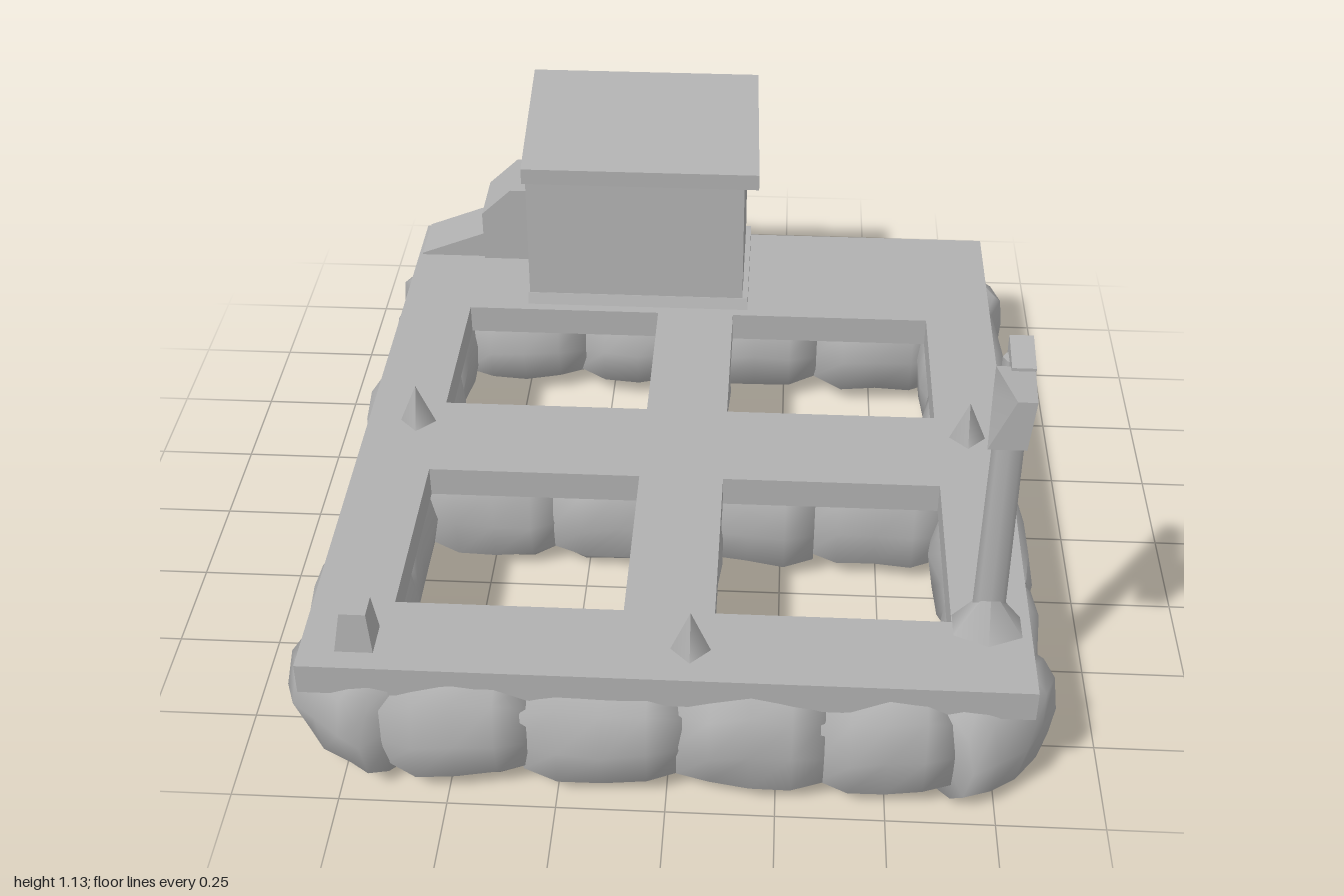
import * as THREE from 'three';

const steel = new THREE.MeshStandardMaterial({ color: 0xb0b0b0 });
steel.name = 'weathered grey';
steel.side = THREE.DoubleSide;

let seed = 11;
function rand() {
  seed = (seed * 16807) % 2147483647;
  return seed / 2147483647 - 0.5;
}

function add(parent, name, geometry) {
  const mesh = new THREE.Mesh(geometry, steel);
  mesh.name = name;
  parent.add(mesh);
  return mesh;
}

// Box given by its bounds, with an optional rule that moves each corner
function block(x0, x1, y0, y1, z0, z1, rule) {
  const g = new THREE.BoxGeometry(x1 - x0, y1 - y0, z1 - z0);
  g.translate((x0 + x1) / 2, (y0 + y1) / 2, (z0 + z1) / 2);
  if (rule) {
    const p = g.attributes.position;
    const v = new THREE.Vector3();
    for (let i = 0; i < p.count; i++) {
      v.fromBufferAttribute(p, i);
      rule(v);
      p.setXYZ(i, v.x, v.y, v.z);
    }
    g.computeVertexNormals();
  }
  return g;
}

// Lumpy barrel lying along x: rounded-square rings, pinched at the ends
function barrel(length, width, height) {
  const sides = 10;
  const rings = [[-0.5, 0], [-0.5, 0.84], [-0.28, 0.99], [0, 1.03], [0.28, 0.99], [0.5, 0.84], [0.5, 0]];
  const pos = [], index = [];
  const square = (c) => Math.sign(c) * Math.pow(Math.abs(c), 0.65);
  rings.forEach(([t, r]) => {
    const lift = rand() * 0.02, swell = r * (1 + rand() * 0.06);
    for (let i = 0; i < sides; i++) {
      const a = ((i + 0.5) / sides) * Math.PI * 2;
      pos.push(t * length,
        square(Math.cos(a)) * swell * height / 2 + lift,
        square(Math.sin(a)) * swell * width / 2 + rand() * 0.02);
    }
  });
  for (let k = 0; k < rings.length - 1; k++) {
    for (let i = 0; i < sides; i++) {
      const a = k * sides + i, b = k * sides + (i + 1) % sides;
      index.push(a, b, a + sides, b, b + sides, a + sides);
    }
  }
  const g = new THREE.BufferGeometry();
  g.setAttribute('position', new THREE.Float32BufferAttribute(pos, 3));
  g.setIndex(index);
  g.computeVertexNormals();
  return g;
}

// Row of barrels between successive stops, along x at a fixed z or along z at a fixed x
function floatRow(parent, name, axis, at, stops, width) {
  const row = new THREE.Group();
  row.name = name;
  for (let i = 0; i < stops.length - 1; i++) {
    const mid = (stops[i] + stops[i + 1]) / 2;
    const m = add(row, 'float', barrel((stops[i + 1] - stops[i]) * 1.04, width, 0.3));
    m.position.set(axis === 'x' ? mid : at, 0.18, axis === 'x' ? at : mid);
    m.rotation.y = (axis === 'x' ? 0 : Math.PI / 2) + rand() * 0.08;
  }
  parent.add(row);
}

function rect(path, x0, x1, z0, z1) {
  path.moveTo(x0, -z0);
  path.lineTo(x1, -z0);
  path.lineTo(x1, -z1);
  path.lineTo(x0, -z1);
  path.closePath();
  return path;
}

function buildDeck(parent) {
  // Frame with four open wells
  const shape = rect(new THREE.Shape(), -0.83, 0.82, -0.94, 0.93);
  for (const [x0, x1] of [[-0.64, -0.11], [0.1, 0.64]]) {
    for (const [z0, z1] of [[-0.51, -0.06], [0.22, 0.71]]) {
      shape.holes.push(rect(new THREE.Path(), x0, x1, z0, z1));
    }
  }
  const g = new THREE.ExtrudeGeometry(shape, { depth: 0.08, bevelEnabled: false });
  g.rotateX(-Math.PI / 2);
  g.translate(0, 0.29, 0);
  add(parent, 'deck', g);
}

function buildFloats(parent) {
  floatRow(parent, 'frontFloats', 'x', 0.85, [-0.64, -0.32, 0.03, 0.35, 0.64], 0.26);
  floatRow(parent, 'backFloats', 'x', -0.765, [-0.68, -0.34, 0, 0.34, 0.68], 0.4);
  floatRow(parent, 'middleFloats', 'x', 0.08, [-0.66, -0.33, 0, 0.33, 0.66], 0.26);
  floatRow(parent, 'leftFloats', 'z', 0.75, [-0.72, -0.4, 0.05, 0.45, 0.74], 0.23);
  floatRow(parent, 'rightFloats', 'z', -0.755, [-0.72, -0.4, 0.0, 0.42, 0.74], 0.23);
  floatRow(parent, 'centreFloats', 'z', -0.005, [-0.58, -0.25, 0.08, 0.4, 0.74], 0.2);
  // Diagonal floats rounding off the four corners
  for (const sx of [-1, 1]) {
    for (const sz of [-1, 1]) {
      const m = add(parent, 'cornerFloat', barrel(0.29, 0.27, 0.3));
      m.position.set(sx * 0.71, 0.18, sz * 0.81);
      m.rotation.y = sx * sz * Math.PI / 4;
    }
  }
}

function buildHut(parent) {
  const hut = new THREE.Group();
  hut.name = 'hut';
  // Walls narrow a little at the front and follow the roof slope
  add(hut, 'hutWalls', block(-0.475, 0.125, 0.37, 0.79, -0.94, -0.55, (v) => {
    if (v.y > 0.5) {
      v.y = v.z < -0.7 ? 0.85 : 0.79;
      if (v.z > -0.7) v.z = -0.57;
    }
  }));
  add(hut, 'hutSill', block(-0.48, 0.14, 0.365, 0.4, -0.94, -0.535, (v) => {
    if (v.y > 0.38 && v.z > -0.7) v.z -= 0.015;
  }));
  // Lean-to roof rising to the back
  add(hut, 'hutRoof', block(-0.49, 0.15, 0.765, 0.81, -0.98, -0.53, (v) => {
    if (v.z < -0.7) v.y += 0.07;
    else if (v.x > 0) v.x = 0.165;
    else v.x = -0.48;
  }));
  // Locker with a bevelled outer edge, and a low ramp beside it
  add(hut, 'locker', block(-0.55, -0.47, 0.36, 0.6, -0.95, -0.77));
  add(hut, 'lockerSide', block(-0.635, -0.55, 0.36, 0.6, -0.95, -0.77, (v) => {
    if (v.y > 0.5 && v.x < -0.6) v.y = 0.52;
  }));
  add(hut, 'lockerRamp', block(-0.82, -0.63, 0.36, 0.45, -0.94, -0.78, (v) => {
    if (v.y > 0.4 && v.x < -0.7) v.y = 0.375;
  }));
  parent.add(hut);
}

function buildLampPost(parent) {
  const post = new THREE.Group();
  post.name = 'lampPost';
  const pole = add(post, 'pole', new THREE.CylinderGeometry(0.033, 0.038, 0.75, 8));
  pole.position.set(0.72, 0.74, 0.71);
  pole.scale.z = 0.7;
  const foot = add(post, 'poleFoot', new THREE.ConeGeometry(0.09, 0.12, 6));
  foot.position.set(0.72, 0.43, 0.72);
  foot.scale.z = 0.75;
  // Hooked arm and flared lamp head facing forward
  add(post, 'lampArm', block(0.7, 0.75, 1.09, 1.15, 0.68, 0.77, (v) => {
    if (v.z > 0.75) v.y -= 0.02;
  }));
  add(post, 'lampHead', block(0.67, 0.75, 1.02, 1.14, 0.75, 0.9, (v) => {
    if (v.z < 0.8) { v.y = v.y > 1.08 ? 1.12 : 1.05; }
    else if (v.y < 1.08) v.x -= 0.02;
    else v.x = v.x < 0.7 ? 0.7 : 0.74;
  }));
  parent.add(post);
}

function buildBollards(parent) {
  const places = [[0.05, 0.83], [0.72, 0.02], [-0.7, 0.02]];
  for (const [x, z] of places) {
    const m = add(parent, 'bollard', new THREE.ConeGeometry(0.05, 0.12, 4));
    m.position.set(x, 0.42, z);
  }
  // Stout leaning bollard at the front corner
  add(parent, 'cornerBollard', block(-0.75, -0.66, 0.36, 0.475, 0.79, 0.88, (v) => {
    if (v.y > 0.4) { v.x = v.x < -0.7 ? -0.73 : -0.67; v.z = v.z > 0.83 ? 0.87 : 0.81; }
  }));
}

export function createModel() {
  const model = new THREE.Group();
  model.name = 'floatingPlatform';
  buildDeck(model);
  buildFloats(model);
  buildHut(model);
  buildLampPost(model);
  buildBollards(model);
  return model;
}
